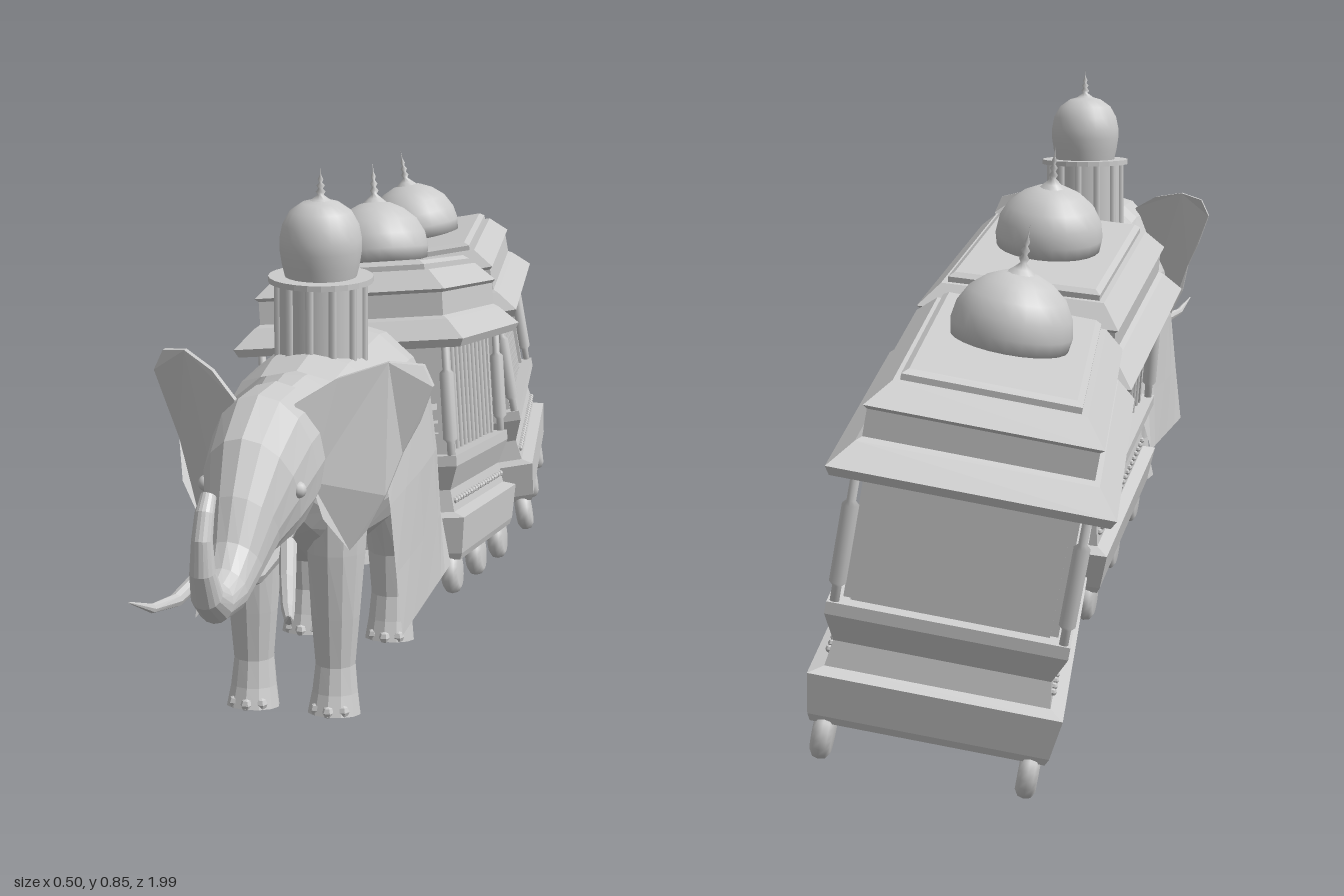
import * as THREE from 'three';

const smooth = new THREE.MeshStandardMaterial({ color: 0xcccccc, side: THREE.DoubleSide });
const flat = new THREE.MeshStandardMaterial({ color: 0xcccccc, flatShading: true, side: THREE.DoubleSide });

function add(parent, name, geometry, material = flat, x = 0, y = 0, z = 0) {
  const mesh = new THREE.Mesh(geometry, material);
  mesh.name = name;
  mesh.position.set(x, y, z);
  parent.add(mesh);
  return mesh;
}

// Joins equal-sized rings of points into a skin, with optional end caps
function skin(rings, closed = true) {
  const n = rings[0].length, pos = rings.flat(2), index = [];
  const steps = closed ? n : n - 1;
  for (let i = 0; i < rings.length - 1; i++) {
    for (let j = 0; j < steps; j++) {
      const a = i * n + j, b = i * n + (j + 1) % n;
      index.push(a, b, a + n, b, b + n, a + n);
    }
  }
  if (closed) {
    const last = (rings.length - 1) * n;
    for (let j = 1; j < n - 1; j++) {
      index.push(0, j + 1, j, last, last + j, last + j + 1);
    }
  }
  const g = new THREE.BufferGeometry();
  g.setAttribute('position', new THREE.Float32BufferAttribute(pos, 3));
  g.setIndex(index);
  const out = g.toNonIndexed();
  out.computeVertexNormals();
  return out;
}

// Elliptical sections along a path; station = [z, y, half width, half height, x]
function sweep(stations, sides = 14, mirror = 1) {
  return skin(stations.map(([z, y, rx, ry, x = 0], i) => {
    const p = stations[Math.max(i - 1, 0)], q = stations[Math.min(i + 1, stations.length - 1)];
    const len = Math.hypot(q[0] - p[0], q[1] - p[1]);
    const tz = (q[0] - p[0]) / len, ty = (q[1] - p[1]) / len;
    return Array.from({ length: sides }, (_, j) => {
      const a = j / sides * Math.PI * 2, u = ry * Math.sin(a);
      return [x * mirror + rx * Math.cos(a), y + tz * u, z - ty * u];
    });
  }));
}

// Rectangular moulding; profile = [half width, y], extra = half length minus half width
function moulding(profile, extra) {
  return skin(profile.map(([w, y]) => {
    const l = w + extra;
    return [[w, y, l], [w, y, -l], [-w, y, -l], [-w, y, l]];
  }));
}

function lathe(points, sides = 20) {
  return new THREE.LatheGeometry(points.map(([r, y]) => new THREE.Vector2(r, y)), sides);
}

function finial() {
  return lathe([[0.022, 0], [0.012, 0.008], [0.004, 0.015], [0.007, 0.02], [0.003, 0.025],
    [0.006, 0.03], [0.002, 0.035], [0.004, 0.04], [0.001, 0.047], [0, 0.062]], 10);
}

function createElephant() {
  const e = new THREE.Group();
  e.name = 'elephant';
  add(e, 'body', sweep([
    [0.175, 0.49, 0.03, 0.04], [0.2, 0.48, 0.085, 0.1], [0.27, 0.465, 0.118, 0.13], [0.4, 0.455, 0.126, 0.142],
    [0.52, 0.465, 0.116, 0.135], [0.6, 0.5, 0.085, 0.11], [0.65, 0.515, 0.068, 0.09]], 18));
  add(e, 'headAndTrunk', sweep([
    [0.61, 0.515, 0.055, 0.075], [0.65, 0.52, 0.07, 0.095], [0.71, 0.515, 0.072, 0.105], [0.765, 0.495, 0.064, 0.095],
    [0.81, 0.465, 0.048, 0.066], [0.85, 0.43, 0.037, 0.045], [0.89, 0.407, 0.03, 0.034], [0.93, 0.405, 0.024, 0.026],
    [0.962, 0.425, 0.02, 0.02], [0.978, 0.46, 0.016, 0.016], [0.978, 0.5, 0.013, 0.014],
    [0.966, 0.53, 0.012, 0.012], [0.95, 0.547, 0.01, 0.011]], 16));
  add(e, 'lowerJaw', sweep([[0.68, 0.45, 0.045, 0.04], [0.74, 0.42, 0.04, 0.033], [0.8, 0.4, 0.026, 0.02], [0.83, 0.4, 0.01, 0.01]], 10));
  add(e, 'tail', sweep([[0.19, 0.53, 0.014, 0.014], [0.17, 0.49, 0.01, 0.01], [0.163, 0.42, 0.007, 0.007],
    [0.168, 0.34, 0.006, 0.006], [0.17, 0.3, 0.011, 0.011], [0.168, 0.25, 0.003, 0.003]], 8));

  for (const s of [1, -1]) {
    add(e, 'frontLeg', sweep([[0.55, 0.46, 0.045, 0.06], [0.56, 0.36, 0.04, 0.05], [0.567, 0.27, 0.034, 0.036],
      [0.567, 0.2, 0.028, 0.03], [0.57, 0.16, 0.032, 0.035], [0.575, 0.13, 0.037, 0.04]], 12), flat, s * 0.058);
    add(e, 'backLeg', sweep([[0.28, 0.46, 0.05, 0.075], [0.275, 0.36, 0.045, 0.06], [0.262, 0.27, 0.035, 0.038],
      [0.26, 0.2, 0.03, 0.032], [0.265, 0.16, 0.033, 0.035], [0.27, 0.13, 0.037, 0.039]], 12), flat, s * 0.064);
    for (const z of [0.6, 0.295]) {
      for (const k of [-1, 0, 1]) {
        add(e, 'toenail', new THREE.SphereGeometry(0.009, 6, 4), flat,
          s * (z > 0.5 ? 0.058 : 0.064) + k * 0.019, 0.142, z + 0.008 - 0.008 * Math.abs(k));
      }
    }
    add(e, 'tusk', sweep([[0.74, 0.425, 0.012, 0.012, 0.04], [0.8, 0.395, 0.011, 0.011, 0.056], [0.86, 0.378, 0.009, 0.009, 0.073],
      [0.91, 0.383, 0.006, 0.006, 0.088], [0.955, 0.405, 0.001, 0.001, 0.102]], 8, s));
    add(e, 'eye', new THREE.SphereGeometry(0.011, 10, 8), smooth, s * 0.061, 0.505, 0.765);

    // Ear fans outwards and backwards from the head
    const outline = [[0.04, 0.6], [0.085, 0.625], [0.14, 0.637], [0.18, 0.628], [0.193, 0.6], [0.175, 0.55],
      [0.155, 0.51], [0.14, 0.46], [0.115, 0.41], [0.095, 0.385], [0.07, 0.44], [0.055, 0.49]];
    const shape = new THREE.Shape(outline.map(([x, y]) => new THREE.Vector2(s * x, y)));
    const ear = new THREE.ExtrudeGeometry(shape, { depth: 0.01, bevelEnabled: false });
    const p = ear.attributes.position;
    for (let i = 0; i < p.count; i++) {
      const x = Math.abs(p.getX(i)), y = p.getY(i);
      p.setZ(i, p.getZ(i) + 0.675 - 0.85 * (x - 0.05) + 0.012 * Math.sin(y * 45));
    }
    ear.computeVertexNormals();
    add(e, 'ear', ear);
  }

  // Cloth draped over the back
  const drape = [[0.148, 0.24], [0.143, 0.33], [0.138, 0.43], [0.128, 0.51], [0.1, 0.565], [0.055, 0.6], [0, 0.612]];
  const arch = [...drape, ...drape.slice(0, -1).reverse().map(([x, y]) => [-x, y])];
  const rows = [[0.195, 0.72, -0.035], [0.235, 0.9, -0.012], [0.3, 0.98, 0], [0.4, 1, 0], [0.48, 0.98, 0], [0.55, 0.92, -0.008]];
  add(e, 'cloth', skin(rows.map(([z, k, dy]) => arch.map(([x, y]) => {
    const hang = THREE.MathUtils.clamp((0.5 - y) / 0.26, 0, 1);
    return [x * (k + (1 - k) * hang), y + dy * (1 - hang), z + (z < 0.25 ? 0.04 * hang : 0)];
  })), false));

  // Domed turret with pilasters
  const t = new THREE.Group();
  t.name = 'turret';
  t.position.set(0, 0, 0.42);
  e.add(t);
  add(t, 'turretWall', new THREE.CylinderGeometry(0.061, 0.061, 0.13, 24), smooth, 0, 0.64, 0);
  for (let i = 0; i < 12; i++) {
    const a = i / 12 * Math.PI * 2;
    add(t, 'pilaster', new THREE.CylinderGeometry(0.006, 0.006, 0.13, 6), smooth, 0.061 * Math.cos(a), 0.64, 0.061 * Math.sin(a));
  }
  add(t, 'turretRim', new THREE.CylinderGeometry(0.073, 0.073, 0.008, 24), flat, 0, 0.704, 0);
  add(t, 'turretDome', lathe([[0.05, 0.708], [0.054, 0.725], [0.057, 0.745], [0.057, 0.76], [0.053, 0.78],
    [0.043, 0.798], [0.026, 0.81], [0, 0.817]], 24), smooth);
  add(t, 'turretFinial', finial(), smooth, 0, 0.808, 0).scale.y = 0.85;
  return e;
}

// Carriage with its origin midway between the wheels; half = half length of the eaves
function createCarriage(name, half, axle, rearPanel) {
  const c = new THREE.Group();
  c.name = name;
  const extra = half - 0.178, end = 0.145 + extra;
  add(c, 'base', moulding([[0.148, 0.02], [0.152, 0.03], [0.16, 0.085], [0.142, 0.092], [0.137, 0.125],
    [0.152, 0.162], [0.152, 0.178], [0.122, 0.178], [0.122, 0.06]], extra));
  add(c, 'roof', moulding([[0.172, 0.343], [0.178, 0.355], [0.15, 0.385], [0.143, 0.39], [0.143, 0.425],
    [0.148, 0.43], [0.12, 0.46], [0.112, 0.46], [0.112, 0.468], [0.104, 0.474]], extra));
  add(c, 'dome', lathe([[0.06, 0.472], [0.078, 0.476], [0.081, 0.495], [0.077, 0.518], [0.065, 0.54],
    [0.045, 0.557], [0.024, 0.567], [0, 0.571]], 24), smooth);
  add(c, 'finial', finial(), smooth, 0, 0.565, 0).scale.y = 1.1;

  // Tongue tapering to the coupling in front
  const tri = new THREE.Shape([[-0.12, 0], [0.12, 0], [0.015, 0.09], [-0.015, 0.09]].map(([x, y]) => new THREE.Vector2(x, y)));
  const tongue = add(c, 'tongue', new THREE.ExtrudeGeometry(tri, { depth: 0.012, bevelEnabled: false }), flat, 0, 0.04, end);
  tongue.rotation.x = Math.PI / 2;

  const wheel = lathe([[0, -0.013], [0.024, -0.013], [0.032, -0.008], [0.034, 0], [0.032, 0.008], [0.024, 0.013], [0, 0.013]], 18);
  const baluster = lathe([[0, 0], [0.006, 0], [0.006, 0.02], [0.011, 0.025], [0.011, 0.125], [0.006, 0.13], [0.006, 0.165], [0, 0.165]], 10);
  const bar = new THREE.CylinderGeometry(0.0045, 0.0045, 0.172, 6);
  const stud = new THREE.SphereGeometry(0.005, 6, 4);
  for (const s of [1, -1]) {
    for (const k of [-1, 0, 1]) {
      add(c, 'wheel', wheel, smooth, s * 0.13, 0, k * axle).rotation.z = Math.PI / 2;
    }
    for (const k of [-1, 1]) {
      add(c, 'cornerBaluster', baluster, smooth, s * 0.143, 0.178, k * (end - 0.002));
      add(c, 'cornerPost', new THREE.BoxGeometry(0.014, 0.17, 0.014), flat, s * 0.128, 0.26, k * (end - 0.03));
    }
    for (let i = 0; i < 11; i++) {
      add(c, 'bar', bar, smooth, s * 0.13, 0.26, (i / 5 - 1) * 0.165);
    }
    const studs = Math.round(end / 0.011);
    for (let i = 0; i < studs; i++) {
      add(c, 'stud', stud, flat, s * 0.141, 0.108, ((i + 0.5) / studs * 2 - 1) * (end - 0.01));
    }
    add(c, 'bench', new THREE.BoxGeometry(0.22, 0.07, 0.07), flat, 0, 0.095, s * (end - 0.1));
  }
  if (rearPanel) {
    add(c, 'rearPanel', new THREE.BoxGeometry(0.25, 0.17, 0.008), flat, 0, 0.26, -(end - 0.02));
  }
  return c;
}

export function createModel() {
  const model = new THREE.Group();
  model.name = 'elephantTrain';

  const elephant = createElephant();
  elephant.position.x = 0.055;
  model.add(elephant);

  const front = createCarriage('frontCarriage', 0.248, 0.195, false);
  front.position.set(0.055, 0.15, -0.047);
  front.rotation.set(-0.175, 0.01, 0.105, 'YXZ');

  const rear = createCarriage('rearCarriage', 0.305, 0.255, true);
  rear.position.set(0.034, 0.083, -0.647);
  rear.rotation.set(-0.078, 0.14, 0.185, 'YXZ');
  model.add(front, rear);
  return model;
}
